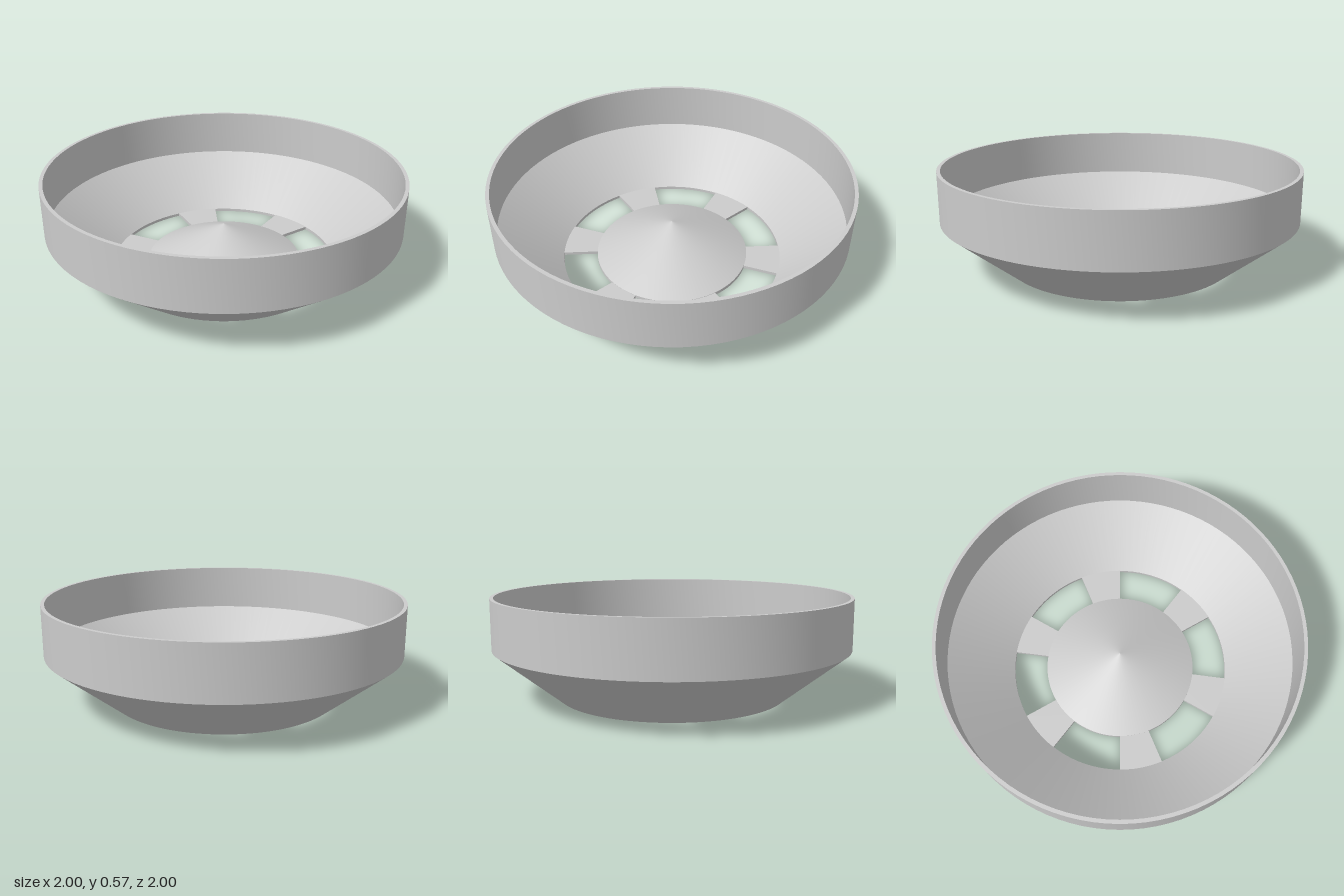
import * as THREE from 'three';
import { toCreasedNormals } from 'three/addons/utils/BufferGeometryUtils.js';

const material = new THREE.MeshStandardMaterial({ color: 0xcccccc });

function addPart(group, name, geometry) {
  const mesh = new THREE.Mesh(toCreasedNormals(geometry, 0.45), material);
  mesh.name = name;
  group.add(mesh);
  return mesh;
}

// Solid of revolution from [radius, height] pairs
function revolve(profile) {
  return new THREE.LatheGeometry(profile.map(([r, y]) => new THREE.Vector2(r, y)), 96);
}

export function createModel() {
  const group = new THREE.Group();
  group.name = 'ventedBowl';

  // Thin wall: sloping lower funnel and straight upper collar
  addPart(group, 'bowlWall', revolve([
    [0.635, 0], [0.645, 0], [1, 0.286], [1, 0.567], [0.98, 0.567],
    [0.98, 0.295], [0.635, 0.017], [0.635, 0],
  ]));

  // Shallow hollow cone in the middle of the floor
  addPart(group, 'hubCone', revolve([
    [0, 0.21], [0.44, 0], [0.44, 0.02], [0, 0.23],
  ]));

  // Six ring-sector spokes joining the cone to the wall
  const width = Math.PI / 8;
  const sector = new THREE.Shape();
  sector.absarc(0, 0, 0.64, 0, width, false);
  sector.absarc(0, 0, 0.432, width, 0, true);
  sector.closePath();
  const spoke = new THREE.ExtrudeGeometry(sector, { depth: 0.018, bevelEnabled: false, curveSegments: 8 });
  spoke.rotateX(-Math.PI / 2);
  for (let i = 0; i < 6; i++) {
    addPart(group, 'spoke' + (i + 1), spoke).rotation.y = Math.PI / 6 + i * Math.PI / 3;
  }
  return group;
}
